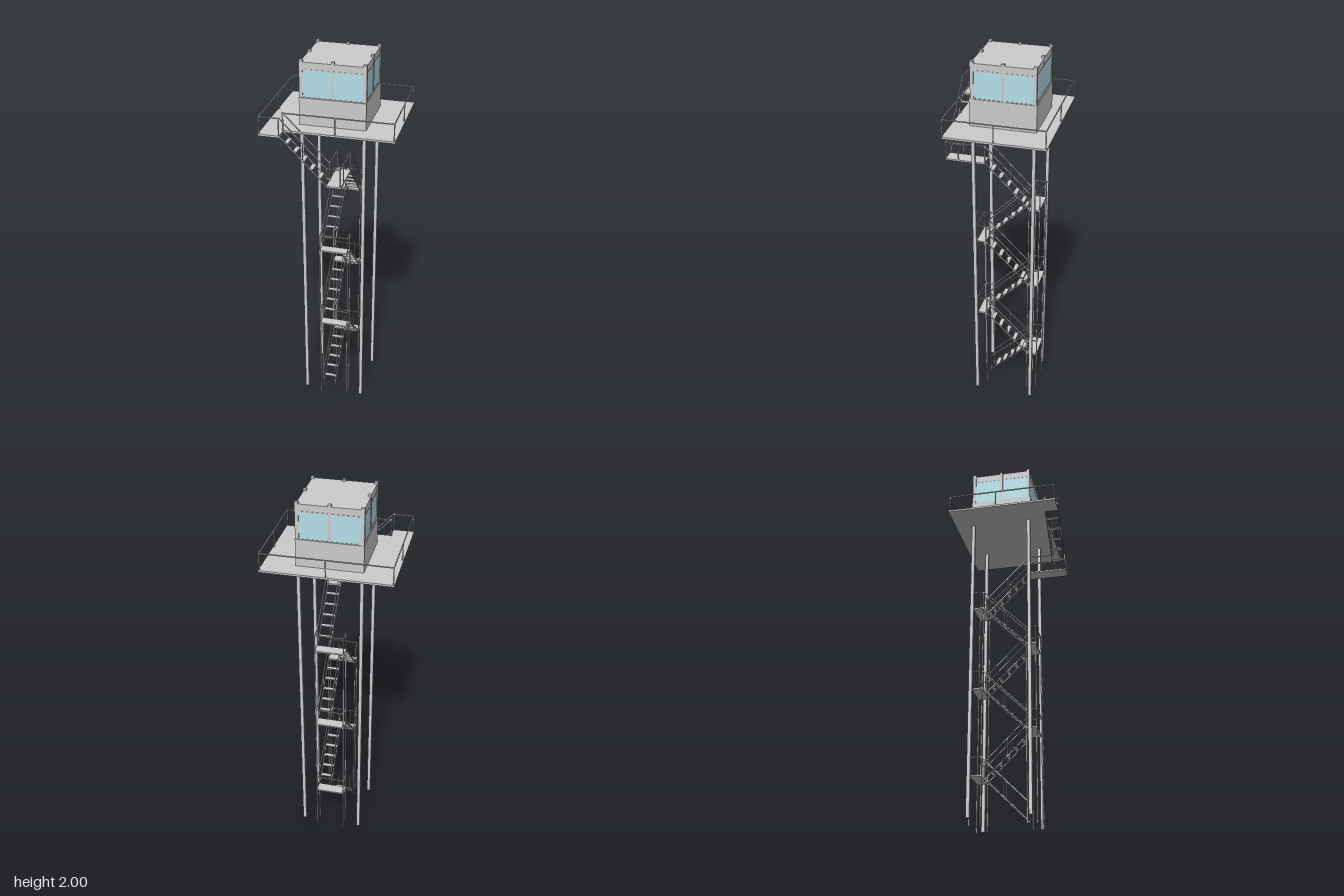
import * as THREE from 'three';

const grey = new THREE.MeshStandardMaterial({ color: 0xcccccc });
const glass = new THREE.MeshStandardMaterial({ color: 0xb4e0ea });
const V = (x, y, z) => new THREE.Vector3(x, y, z);
const RAIL = 0.095; // handrail height

function group(parent, name) {
  const g = new THREE.Group();
  g.name = name;
  parent.add(g);
  return g;
}

// Box given by its minimum and maximum corners
function block(parent, name, x0, x1, y0, y1, z0, z1, mat = grey) {
  const m = new THREE.Mesh(new THREE.BoxGeometry(x1 - x0, y1 - y0, z1 - z0), mat);
  m.position.set((x0 + x1) / 2, (y0 + y1) / 2, (z0 + z1) / 2);
  m.name = name;
  parent.add(m);
}

// Square bar between two points
function bar(parent, name, a, b, t = 0.005) {
  const m = new THREE.Mesh(new THREE.BoxGeometry(t, a.distanceTo(b) + t * 0.5, t), grey);
  m.position.copy(a).lerp(b, 0.5);
  m.quaternion.setFromUnitVectors(V(0, 1, 0), b.clone().sub(a).normalize());
  m.name = name;
  parent.add(m);
}

// Top rail along a path of [x, z] points, with a post at each point
function railing(parent, y, h, path) {
  path.forEach(([x, z], i) => {
    bar(parent, 'railPost', V(x, y, z), V(x, y + h, z));
    if (i) bar(parent, 'handrail', V(path[i - 1][0], y + h, path[i - 1][1]), V(x, y + h, z));
  });
}

// Flight climbing along +x from the origin: stringers, handrails, balusters and open treads
function flight(parent, name, run, rise, width) {
  const g = group(parent, name);
  for (const z of [-width / 2, width / 2]) {
    bar(g, 'stringer', V(0, 0, z), V(run, rise, z));
    bar(g, 'handrail', V(0, RAIL, z), V(run, rise + RAIL, z));
    for (const t of [0, 0.5, 1]) {
      bar(g, 'baluster', V(run * t, rise * t, z), V(run * t, rise * t + RAIL, z), 0.004);
    }
  }
  for (let i = 0; i < 5; i++) {
    const t = (i + 0.9) / 5.8;
    block(g, 'tread', run * t - 0.011, run * t + 0.011, rise * t, rise * t + 0.004, -width / 2, width / 2);
  }
  return g;
}

export function createModel() {
  const model = new THREE.Group();
  model.name = 'observationTower';

  // Corner legs, rising through the cabin as its corner posts
  for (const x of [-0.158, 0.158]) {
    for (const z of [-0.195, 0.115]) block(model, 'leg', x - 0.009, x + 0.009, 0.02, 2, z - 0.009, z + 0.009);
  }

  // Deck with a tongue for the stair head
  const deck = group(model, 'deck');
  block(deck, 'deckFloor', -0.33, 0.33, 1.662, 1.672, -0.295, 0.22);
  block(deck, 'deckTongue', -0.33, -0.222, 1.662, 1.672, 0.22, 0.291);
  railing(deck, 1.67, 0.09, [
    [-0.225, 0.286], [-0.324, 0.286], [-0.324, -0.035], [-0.324, -0.289], [0, -0.289],
    [0.324, -0.289], [0.324, -0.035], [0.324, 0.217], [0.034, 0.217], [-0.225, 0.217],
  ]);

  // Cabin: lower walls, window band, header and roof
  const cabin = group(model, 'cabin');
  const zc = -0.039;
  block(cabin, 'lowerWall', -0.168, 0.168, 1.67, 1.812, -0.207, 0.13);
  block(cabin, 'roofHeader', -0.163, 0.163, 1.955, 1.99, -0.2, 0.123);
  for (const [x, z] of [[0, -0.193], [0, 0.115], [-0.158, zc], [0.158, zc]]) {
    block(cabin, 'middlePost', x - 0.008, x + 0.008, 1.81, 2, z - 0.008, z + 0.008);
  }
  for (const s of [-1, 1]) {
    for (const side of [-1, 1]) {
      const c = s * 0.079;
      const zf = side > 0 ? 0.119 : -0.197;
      block(cabin, 'window', c - 0.074, c + 0.074, 1.815, 1.952, zf - 0.004, zf + 0.004, glass);
      const xf = side * 0.159;
      block(cabin, 'window', xf - 0.004, xf + 0.004, 1.815, 1.952, zc + c - 0.073, zc + c + 0.073, glass);
      // Thin sills and heads around the panes
      for (const [y0, y1] of [[1.81, 1.816], [1.95, 1.956]]) {
        block(cabin, 'windowFrame', c - 0.079, c + 0.079, y0, y1, zf - 0.005, zf + 0.005);
        block(cabin, 'windowFrame', xf - 0.005, xf + 0.005, y0, y1, zc + c - 0.078, zc + c + 0.078);
      }
    }
  }

  // Switchback stairs in two lanes
  const stairs = group(model, 'stairs');
  const zFront = 0.08, zBack = -0.155, rise = 0.235, y0 = 0.02;
  for (let i = 0; i < 6; i++) {
    const up = i % 2 === 0; // even flights run to the back
    const f = flight(stairs, 'flight', zFront - zBack, rise, 0.066);
    f.position.set(up ? -0.038 : 0.045, y0 + rise * i, up ? zFront : zBack);
    f.rotation.y = up ? Math.PI / 2 : -Math.PI / 2;
    if (i === 5) break;
    // Landing at the head of the flight, railed on three sides
    const y = y0 + rise * (i + 1);
    const zi = up ? zBack : zFront, zo = up ? -0.211 : 0.131;
    block(stairs, 'landing', -0.073, 0.081, y - 0.006, y + 0.002, Math.min(zi, zo), Math.max(zi, zo));
    railing(stairs, y, RAIL, [[-0.071, zi], [-0.071, zo], [0.079, zo], [0.079, zi]]);
  }

  // Slender columns carrying the landings
  for (const x of [-0.071, 0.079]) {
    for (const [z, top] of [[-0.211, 1.195], [-0.155, 1.195], [0.08, 0.96], [0.131, 0.96]]) {
      bar(stairs, 'landingColumn', V(x, 0.002, z), V(x, top, z), 0.006);
    }
  }

  // Upper landing and the last flight, which climbs sideways to the deck
  const yTop = y0 + rise * 6;
  block(stairs, 'upperLanding', 0.008, 0.083, yTop - 0.006, yTop + 0.002, 0.08, 0.289);
  railing(stairs, yTop, RAIL, [[0.079, 0.08], [0.079, 0.221], [0.079, 0.286], [0.01, 0.286]]);
  railing(stairs, yTop, RAIL, [[0.01, 0.08], [0.01, 0.221]]);
  const last = flight(stairs, 'upperFlight', 0.235, 1.67 - yTop, 0.065);
  last.position.set(0.01, yTop, 0.2535);
  last.rotation.y = Math.PI;

  return model;
}
